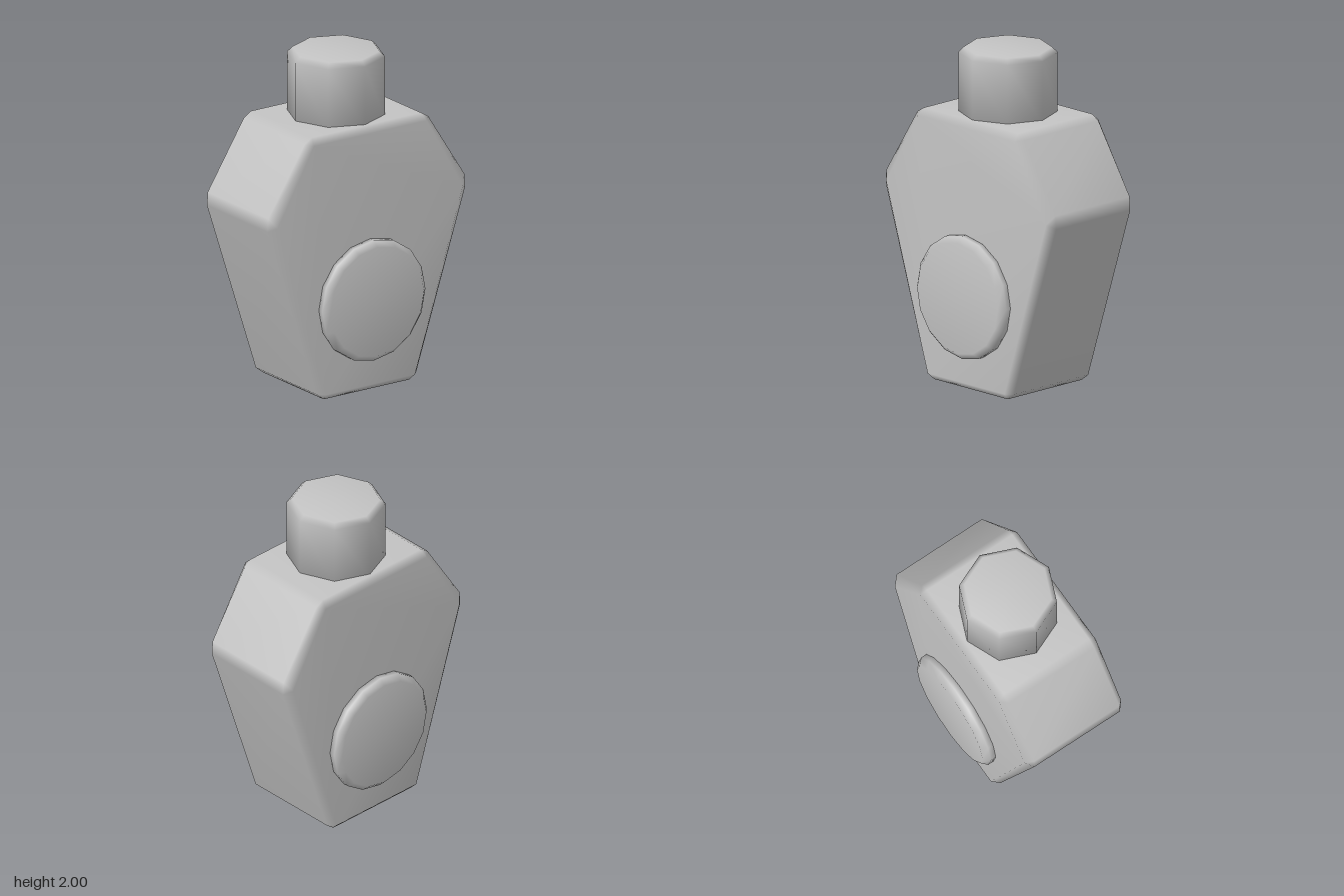
import * as THREE from 'three';
import { mergeVertices } from 'three/addons/utils/BufferGeometryUtils.js';
import { ConvexGeometry } from 'three/addons/geometries/ConvexGeometry.js';

// Weld the corners and smooth by area, so big faces stay flat and bevels look soft
function soften(geometry) {
  geometry.deleteAttribute('normal');
  geometry.deleteAttribute('uv');
  const welded = mergeVertices(geometry, 1e-4);
  welded.computeVertexNormals();
  return welded;
}

// Faceted drum with a bevelled rim, standing on y = 0
function drum(radius, height, bevel, sides) {
  const profile = [
    [0, 0], [radius, 0], [radius, height - bevel], [radius - bevel, height], [0, height],
  ].map(([r, y]) => new THREE.Vector2(r, y));
  return soften(new THREE.LatheGeometry(profile, sides));
}

// Bevelled six-sided slab: full outline at x = 0.30, inset outline at x = 0.34
function bodyGeometry() {
  const outline = [[0.305, 0], [0.357, 0.04], [0.705, 1.1], [0.7, 1.18], [0.442, 1.583], [0.39, 1.615]];
  const inset = [[0.318, 0.04], [0.66, 1.125], [0.4, 1.575]];
  const points = [];
  for (const sx of [-1, 1]) {
    for (const sz of [-1, 1]) {
      for (const [z, y] of outline) points.push(new THREE.Vector3(sx * 0.3, y, sz * z));
      for (const [z, y] of inset) points.push(new THREE.Vector3(sx * 0.34, y, sz * z));
    }
  }
  return soften(new ConvexGeometry(points));
}

export function createModel() {
  const model = new THREE.Group();
  model.name = 'bottle';
  const grey = new THREE.MeshStandardMaterial({ color: 0xc4c4c4 });
  grey.name = 'light grey';

  const add = (name, geometry) => {
    const mesh = new THREE.Mesh(geometry, grey);
    mesh.name = name;
    model.add(mesh);
    return mesh;
  };

  add('body', bodyGeometry());

  // Eight-sided stopper on top
  add('stopper', drum(0.288, 0.41, 0.032, 8)).position.y = 1.59;

  // Round medallion on each broad side
  const disc = drum(0.368, 0.09, 0.035, 16);
  for (const [name, side] of [['leftMedallion', 1], ['rightMedallion', -1]]) {
    const medallion = add(name, disc);
    medallion.position.set(side * 0.32, 0.565, 0);
    medallion.rotation.z = -side * Math.PI / 2;
  }

  return model;
}
